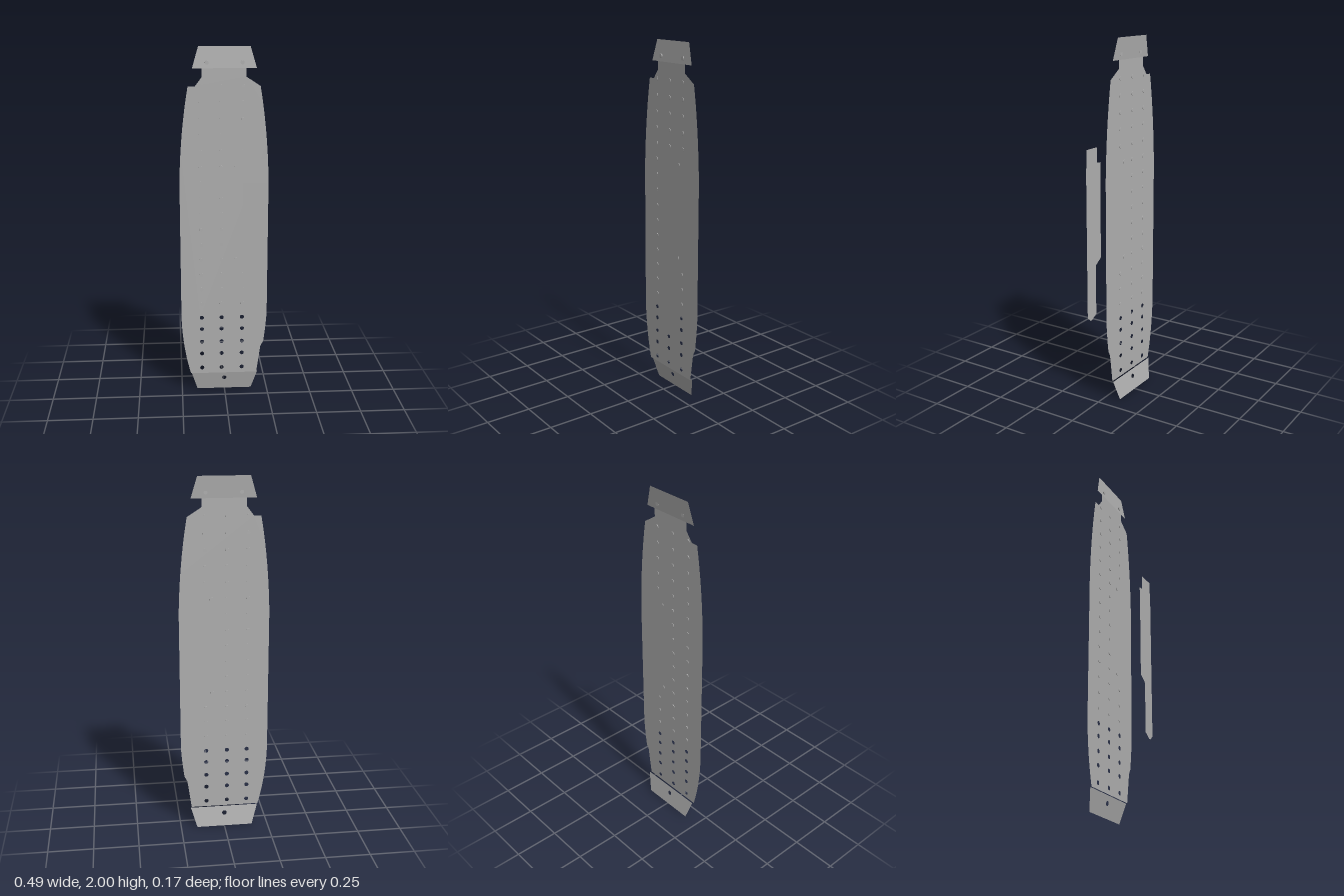
import * as THREE from 'three';

const SHEET_Z = -0.053;
const PANEL_Z = 0.085;

export function createModel() {
  const model = new THREE.Group();
  const grey = new THREE.MeshStandardMaterial({ color: 0xb0b0b0, side: THREE.DoubleSide });
  grey.name = 'plain grey';

  const polygon = (points) => new THREE.Shape(points.map(([x, y]) => new THREE.Vector2(x, y)));
  const punch = (shape, x, y, r = 0.012) => {
    const hole = new THREE.Path();
    hole.absarc(x, y, r, 0, Math.PI * 2, true);
    shape.holes.push(hole);
  };
  // Thin sheet; depth gives z for each height, so flaps can lean
  const sheet = (name, shape, depth) => {
    const geometry = new THREE.ShapeGeometry(shape, 10);
    const p = geometry.attributes.position;
    for (let i = 0; i < p.count; i++) p.setZ(i, depth(p.getY(i)));
    geometry.computeVertexNormals();
    const mesh = new THREE.Mesh(geometry, grey);
    mesh.name = name;
    model.add(mesh);
  };

  // Long main plate with bowed sides and a neck at the top
  const plate = new THREE.Shape();
  plate.moveTo(-0.198, 0.115);
  plate.quadraticCurveTo(-0.246, 0.29, -0.249, 0.48);
  plate.lineTo(-0.249, 1.27);
  plate.quadraticCurveTo(-0.241, 1.55, -0.198, 1.79);
  plate.lineTo(-0.16, 1.79);
  plate.lineTo(-0.122, 1.84);
  plate.lineTo(-0.122, 1.885);
  plate.lineTo(0.116, 1.885);
  plate.lineTo(0.116, 1.84);
  plate.lineTo(0.193, 1.79);
  plate.quadraticCurveTo(0.235, 1.55, 0.243, 1.27);
  plate.lineTo(0.243, 0.49);
  plate.quadraticCurveTo(0.238, 0.4, 0.225, 0.31);
  plate.lineTo(0.209, 0.28);
  plate.lineTo(0.186, 0.115);
  const columns = [-0.132, -0.018, 0.1];
  for (const y of [0.15, 0.24, 0.315, 0.395, 0.465]) {
    for (const x of columns) punch(plate, x, y);
  }
  sheet('mainPlate', plate, () => SHEET_Z);

  // End flaps, leaning back
  sheet('topFlap', polygon([[-0.174, 1.885], [0.172, 1.885], [0.138, 2], [-0.14, 2]]),
    (y) => SHEET_Z - 0.009 * (y - 1.885) / 0.115);
  const bottomFlap = polygon([[-0.16, 0], [0.157, 0], [0.192, 0.115], [-0.194, 0.115]]);
  punch(bottomFlap, -0.002, 0.075, 0.013);
  sheet('bottomFlap', bottomFlap, (y) => -0.062 - 0.023 * (1 - y / 0.115));

  // Raised narrow panel with its two tabs
  sheet('sidePanel', polygon([[0.088, 1.293], [0.088, 0.793], [0.138, 0.76], [0.138, 0.475],
    [0.18, 0.45], [0.195, 0.45], [0.222, 0.475], [0.222, 1.293]]), () => PANEL_Z);
  sheet('panelTab', polygon([[0.118, 1.293], [0.222, 1.293], [0.214, 1.42], [0.118, 1.42]]), () => PANEL_Z);
  sheet('panelSmallTab', polygon([[0.088, 1.293], [0.135, 1.293], [0.135, 1.34], [0.088, 1.333]]),
    () => PANEL_Z - 0.001);

  // Small flat studs in columns
  const studs = new THREE.Group();
  studs.name = 'studs';
  const studGeometry = new THREE.CylinderGeometry(0.011, 0.011, 0.006, 10).rotateX(Math.PI / 2);
  const stud = (x, y) => {
    const mesh = new THREE.Mesh(studGeometry, grey);
    mesh.name = 'stud';
    mesh.position.set(x, y, SHEET_Z);
    studs.add(mesh);
  };
  for (let row = 0; row < 15; row++) {
    const y = 0.55 + row * 0.0886;
    stud(columns[0], y);
    stud(columns[1], y);
    // The third column is interrupted beside the panel
    if (row < 3 || row > 9) stud(columns[2], y);
    else if (row === 3 || row === 9) stud(0.065, y);
  }
  stud(-0.095, 1.915);
  stud(0.095, 1.915);
  model.add(studs);

  return model;
}
